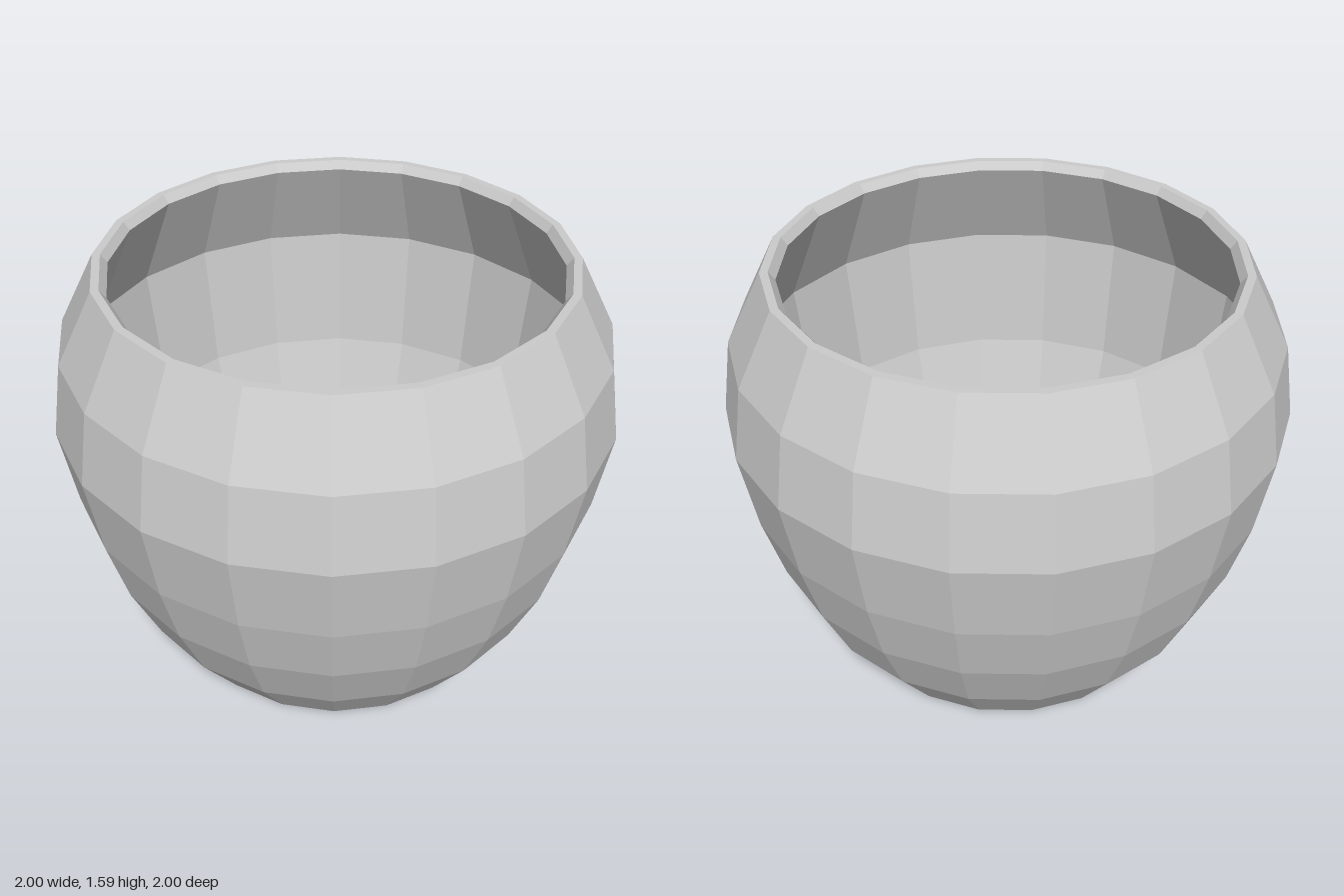
import * as THREE from 'three';

const SIDES = 20;

// Revolve a run of [radius, height] points into a faceted surface
function revolve(name, points, material) {
  const profile = points.map(([r, y]) => new THREE.Vector2(r, y));
  const mesh = new THREE.Mesh(new THREE.LatheGeometry(profile, SIDES), material);
  mesh.name = name;
  return mesh;
}

export function createModel() {
  const group = new THREE.Group();
  group.name = 'pot';
  const material = new THREE.MeshStandardMaterial({ color: 0xcccccc, flatShading: true });

  // Base and bulging outer wall, from the centre of the underside up to the rim
  group.add(revolve('outerWall', [
    [0, 0], [0.52, 0], [0.63, 0.035], [0.79, 0.275], [0.89, 0.515],
    [0.955, 0.765], [1, 1.065], [0.955, 1.33], [0.82, 1.585],
  ], material));

  // Narrow flat rim with a bevel on its inner edge
  group.add(revolve('rim', [[0.82, 1.585], [0.792, 1.585], [0.77, 1.555]], material));

  // Hollow inside, from the rim down to the centre of the floor
  group.add(revolve('innerWall', [
    [0.77, 1.555], [0.93, 1.2], [0.88, 0.72], [0.76, 0.33],
    [0.6, 0.08], [0.51, 0.055], [0, 0.055],
  ], material));

  return group;
}
